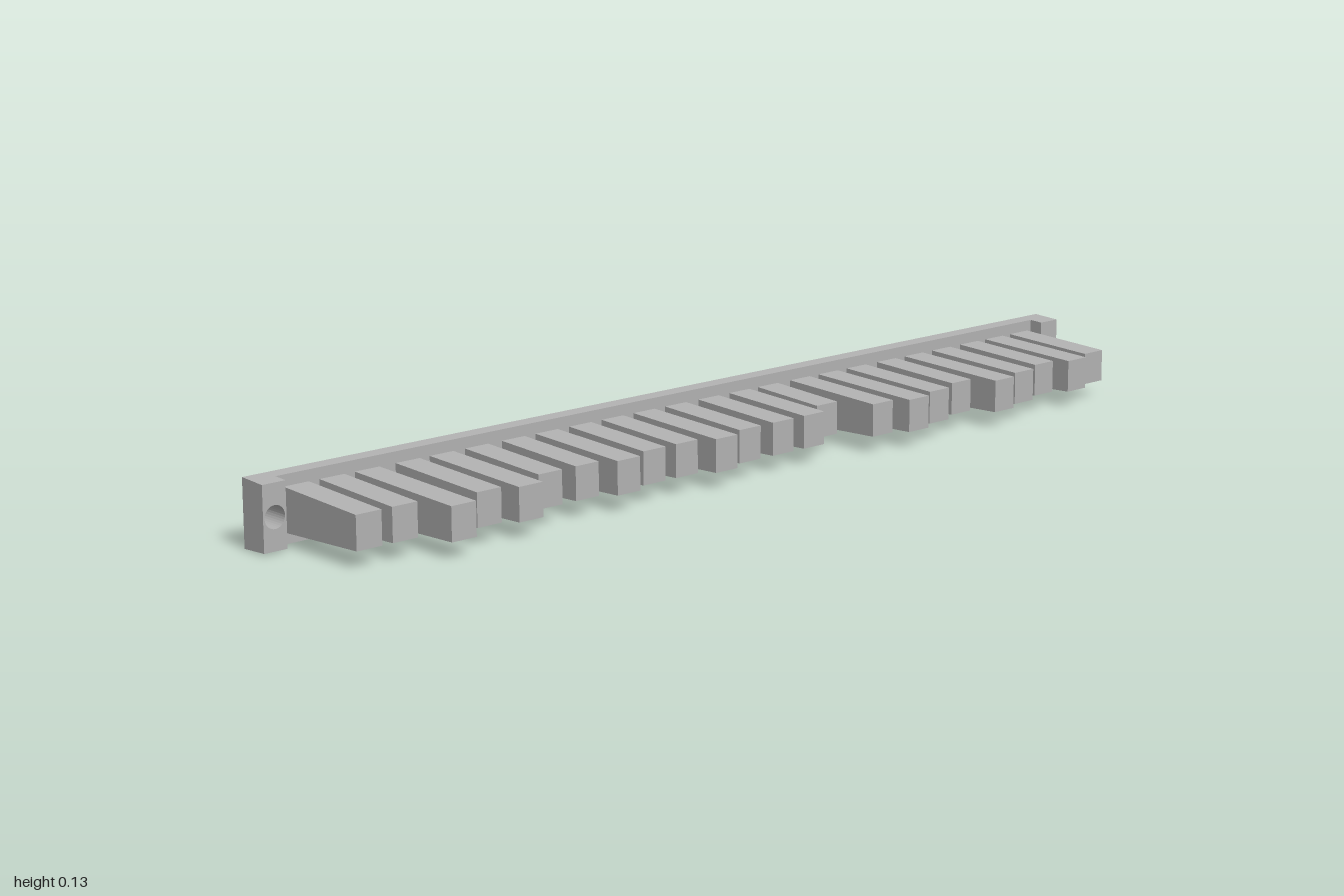
import * as THREE from 'three';

const MID_Y = 0.0635;                 // height of the centre line
const BACK_Z = -0.149, BAR_Z = -0.12, BLOCK_Z = -0.091;
const BACK_H = 0.126, DRAFT = 0.1;    // back height, height lost per unit of depth

// Height of the rear bar at depth z
const barHeight = (z) => BACK_H - DRAFT * (z - BACK_Z);

// Box from z0 to z1 whose height changes from h0 to h1
function taperedBox(width, z0, z1, h0, h1) {
  const g = new THREE.BoxGeometry(width, 1, z1 - z0);
  g.translate(0, 0, (z0 + z1) / 2);
  const p = g.attributes.position;
  for (let i = 0; i < p.count; i++) {
    const t = (p.getZ(i) - z0) / (z1 - z0);
    p.setY(i, p.getY(i) * (h0 + (h1 - h0) * t));
  }
  g.computeVertexNormals();
  return g;
}

// End block with a screw hole right through it
function endBlock(width) {
  const s = new THREE.Shape();
  const w = width / 2, h = BACK_H / 2;
  s.moveTo(-w, -h).lineTo(w, -h).lineTo(w, h).lineTo(-w, h).closePath();
  const hole = new THREE.Path();
  hole.absarc(0, 0, 0.021, 0, Math.PI * 2, true);
  s.holes.push(hole);
  const g = new THREE.ExtrudeGeometry(s, { depth: BLOCK_Z - BACK_Z, bevelEnabled: false, curveSegments: 16 });
  g.translate(0, 0, BACK_Z);
  const p = g.attributes.position;
  for (let i = 0; i < p.count; i++) {
    if (Math.abs(p.getY(i)) > 0.05) p.setY(i, Math.sign(p.getY(i)) * barHeight(p.getZ(i)) / 2);
  }
  g.computeVertexNormals();
  return g;
}

export function createModel() {
  const group = new THREE.Group();
  const grey = new THREE.MeshStandardMaterial({ color: 0xb2b2b2 });
  grey.name = 'grey';

  const add = (geometry, name, x) => {
    const m = new THREE.Mesh(geometry, grey);
    m.name = name;
    m.position.set(x, MID_Y, 0);
    group.add(m);
  };

  // Rear bar and its two end blocks
  const blockW = 0.048;
  add(taperedBox(2 - 2 * blockW, BACK_Z, BAR_Z, BACK_H, barHeight(BAR_Z)), 'rearBar', 0);
  const block = endBlock(blockW);
  add(block, 'rightEndBlock', -1 + blockW / 2);
  add(block, 'leftEndBlock', 1 - blockW / 2);

  // Fingers: [centre x, front z]
  const S = 0.085, M = 0.107, L = 0.128;
  const fingers = [
    [-0.91, S], [-0.835, S], [-0.76, 0.149], [-0.672, M], [-0.597, L], [-0.518, S],
    [-0.434, S], [-0.356, M], [-0.276, S], [-0.198, S], [-0.12, M], [-0.041, S],
    [0.043, S], [0.123, S], [0.198, 0.043], [0.284, M], [0.361, L], [0.439, M],
    [0.524, S], [0.602, L], [0.682, M], [0.765, S], [0.84, M], [0.915, S],
  ];
  fingers.forEach(([x, z], i) => {
    add(taperedBox(0.053, BAR_Z, z, 0.081, 0.063), `finger${i + 1}`, x);
  });

  return group;
}
